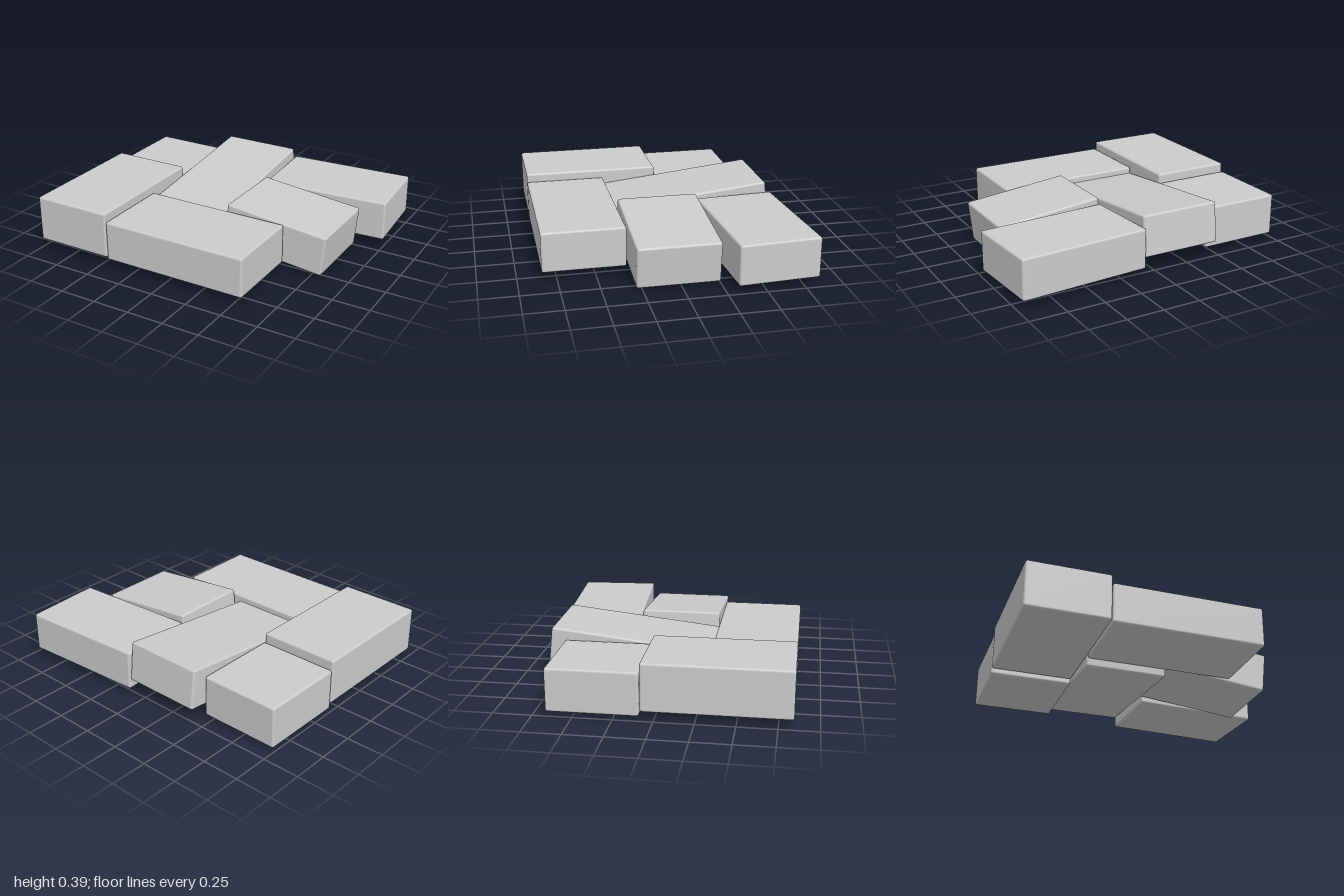
import * as THREE from 'three';
import { RoundedBoxGeometry } from 'three/addons/geometries/RoundedBoxGeometry.js';

// Each paving brick: size, centre, and a small tilt where it has settled unevenly
const BRICKS = [
  { name: 'frontLeftBrick', size: [0.545, 0.313, 0.927], at: [-0.727, 0.218, 0.381] },
  { name: 'backLeftBrick', size: [0.545, 0.283, 0.58], at: [-0.727, 0.172, -0.378] },
  { name: 'centreBrick', size: [0.545, 0.274, 1.09], at: [-0.18, 0.196, -0.232], turn: [0.109, 0, 0] },
  { name: 'frontBrick', size: [1.005, 0.27, 0.545], at: [0.052, 0.185, 0.572] },
  { name: 'rightBrick', size: [0.719, 0.277, 0.54], at: [0.473, 0.185, 0.017], turn: [0, 0, -0.106] },
  { name: 'backRightBrick', size: [0.875, 0.27, 0.535], at: [0.544, 0.185, -0.558], turn: [0, 0.064, 0] },
];
const EDGE_RADIUS = 0.015;

export function createModel() {
  const paving = new THREE.Group();
  paving.name = 'brickPaving';
  const material = new THREE.MeshStandardMaterial({ color: 0xcccccc });

  for (const { name, size, at, turn = [0, 0, 0] } of BRICKS) {
    const brick = new THREE.Mesh(new RoundedBoxGeometry(...size, 3, EDGE_RADIUS), material);
    brick.name = name;
    brick.position.set(...at);
    brick.rotation.set(...turn);
    paving.add(brick);
  }
  return paving;
}
